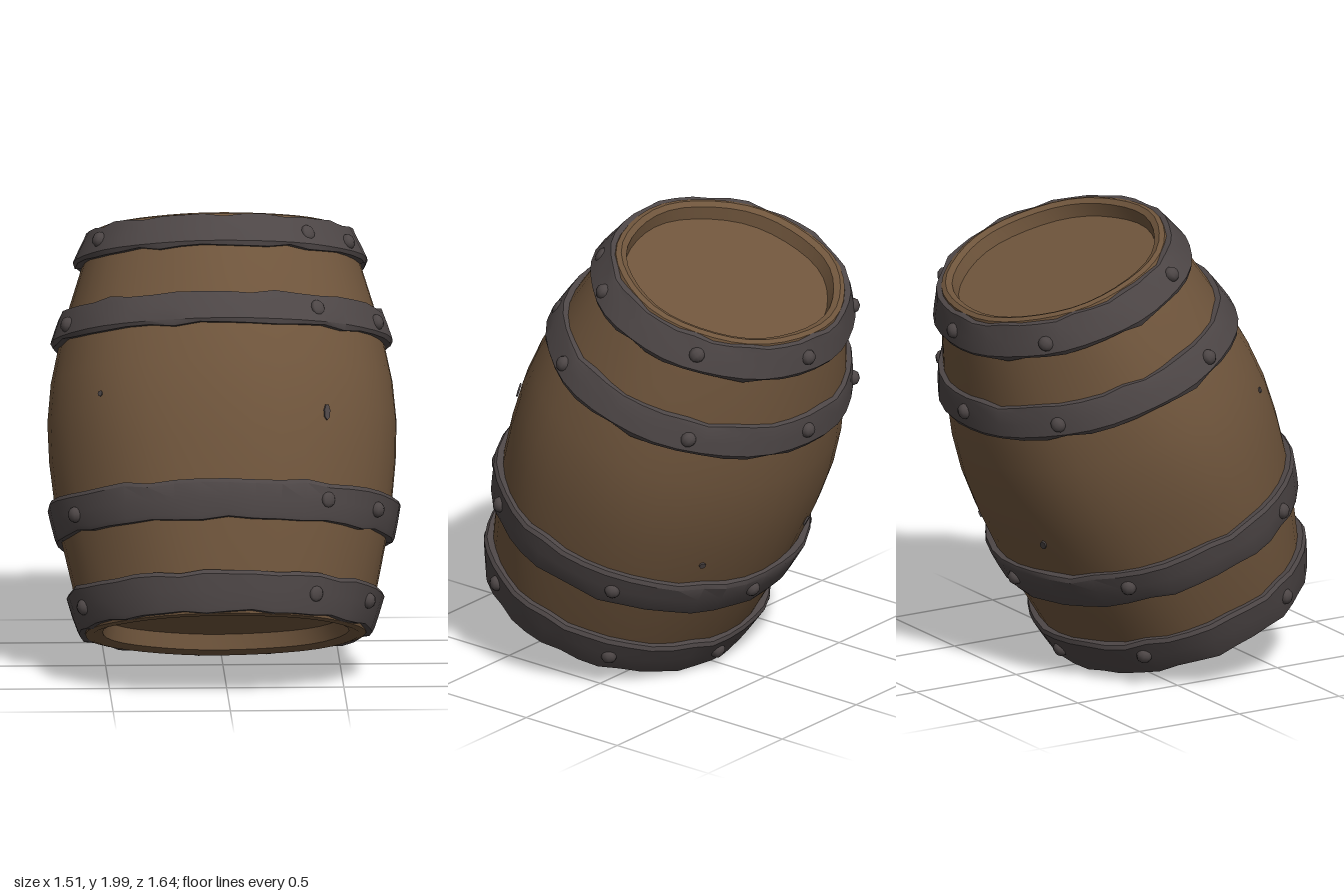
import * as THREE from 'three';
import { toCreasedNormals } from 'three/addons/utils/BufferGeometryUtils.js';

const OVAL = 1.13;      // the barrel is wider across x than in depth
const SEGMENTS = 40;

// Stave radius (in depth) at heights along the barrel axis
const STAVES = [
  [-0.865, 0.53], [-0.69, 0.57], [-0.47, 0.612], [-0.3, 0.637], [-0.12, 0.654], [0.05, 0.659],
  [0.22, 0.645], [0.37, 0.617], [0.52, 0.583], [0.72, 0.528], [0.872, 0.48],
];

function radiusAt(t) {
  let i = 0;
  while (i < STAVES.length - 2 && t > STAVES[i + 1][0]) i++;
  const [t0, r0] = STAVES[i], [t1, r1] = STAVES[i + 1];
  return r0 + (r1 - r0) * (t - t0) / (t1 - t0);
}

// Oval lathe; wobble(angle, y) gives small worn offsets [radial, vertical]
function ovalLathe(points, wobble, crease) {
  const geo = new THREE.LatheGeometry(points.map(([r, y]) => new THREE.Vector2(r, y)), SEGMENTS);
  const p = geo.attributes.position;
  for (let i = 0; i < p.count; i++) {
    const x = p.getX(i), y = p.getY(i), z = p.getZ(i);
    const r = Math.hypot(x, z);
    if (r < 1e-4) continue;
    const [dr, dy] = wobble(Math.atan2(x, z), y);
    const k = (r + dr) / r;
    p.setXYZ(i, x * k * OVAL, y + dy, z * k);
  }
  return toCreasedNormals(geo, crease);
}

// Puts a small part on the oval surface, facing outwards
function placeOnSurface(mesh, degrees, t, lift) {
  const a = THREE.MathUtils.degToRad(degrees), r = radiusAt(t) + lift;
  mesh.position.set(Math.sin(a) * r * OVAL, t, Math.cos(a) * r);
  const slope = (radiusAt(t + 0.05) - radiusAt(t - 0.05)) / 0.1;
  const normal = new THREE.Vector3(Math.sin(a) / OVAL, -slope, Math.cos(a)).normalize();
  mesh.quaternion.setFromUnitVectors(new THREE.Vector3(0, 0, 1), normal);
}

export function createModel() {
  const wood = new THREE.MeshStandardMaterial({ color: 0x6f553c });
  wood.name = 'brown wood';
  const iron = new THREE.MeshStandardMaterial({ color: 0x4d4646 });
  iron.name = 'dark iron';

  const model = new THREE.Group();
  model.name = 'barrel';
  const tilted = new THREE.Group();
  tilted.name = 'tiltedBarrel';
  tilted.rotation.x = THREE.MathUtils.degToRad(-21);
  tilted.position.y = 1.01;
  model.add(tilted);

  const add = (name, geometry, material) => {
    const mesh = new THREE.Mesh(geometry, material);
    mesh.name = name;
    tilted.add(mesh);
    return mesh;
  };

  // Staves with thick rims and a recessed head at each end
  const profile = [
    [0, -0.79], [0.45, -0.79], [0.465, -0.855], [0.505, -0.872],
    ...STAVES.map(([t, r]) => [r, t]),
    [0.46, 0.88], [0.435, 0.868], [0.425, 0.81], [0, 0.81],
  ];
  const bodyWobble = (a, y) => [0.003 * Math.sin(7 * a + 3 * y), 0];
  add('stavesAndHeads', ovalLathe(profile, bodyWobble, 0.7), wood);

  // Hoops with worn edges
  const hoops = [[-0.86, -0.69], [-0.47, -0.305], [0.375, 0.515], [0.725, 0.865]];
  const boltAngles = [35, 64, 125, 177, -135, -65];
  const boltGeo = new THREE.SphereGeometry(0.034, 8, 6);
  hoops.forEach(([lo, hi], n) => {
    const rl = radiusAt(lo), rh = radiusAt(hi), mid = (lo + hi) / 2;
    const section = [
      [rl - 0.015, lo], [rl + 0.022, lo], [rl + 0.03, lo + 0.018],
      [radiusAt(mid) + 0.031, mid],
      [rh + 0.03, hi - 0.018], [rh + 0.022, hi], [rh - 0.015, hi],
    ];
    const wobble = (a, y) => {
      const edge = Math.abs(y - mid) > 0.06 ? 1 : 0;
      const side = y > mid ? 2 : 0;
      return [
        0.003 * Math.sin(9 * a + n),
        edge * (0.005 * Math.sin(11 * a + n + side) + 0.004 * Math.sin(17 * a + 2 * n - side)),
      ];
    };
    add('hoop' + (n + 1), ovalLathe(section, wobble, 0.6), iron);

    // Rivets around the hoop
    boltAngles.forEach((deg, i) => {
      const bolt = add('rivet', boltGeo, iron);
      placeOnSurface(bolt, deg + 4 * Math.sin(n * 3 + i), mid + 0.012 * Math.sin(i * 2 + n), 0.03);
      bolt.scale.set(1, 1, i === 0 ? 0.4 : 0.85);
    });
  });

  // Small dark nicks in the staves: angle, height, width, length
  const nicks = [[35, 0.0, 0.03, 0.07], [-46, 0.1, 0.025, 0.025], [150, -0.2, 0.03, 0.03], [-160, -0.15, 0.03, 0.045]];
  for (const [deg, t, w, h] of nicks) {
    const nick = add('staveNick', new THREE.CylinderGeometry(0.5, 0.5, 0.008, 7).rotateX(Math.PI / 2), iron);
    nick.scale.set(w, h, 1);
    placeOnSurface(nick, deg, t, 0.003);
  }

  return model;
}
